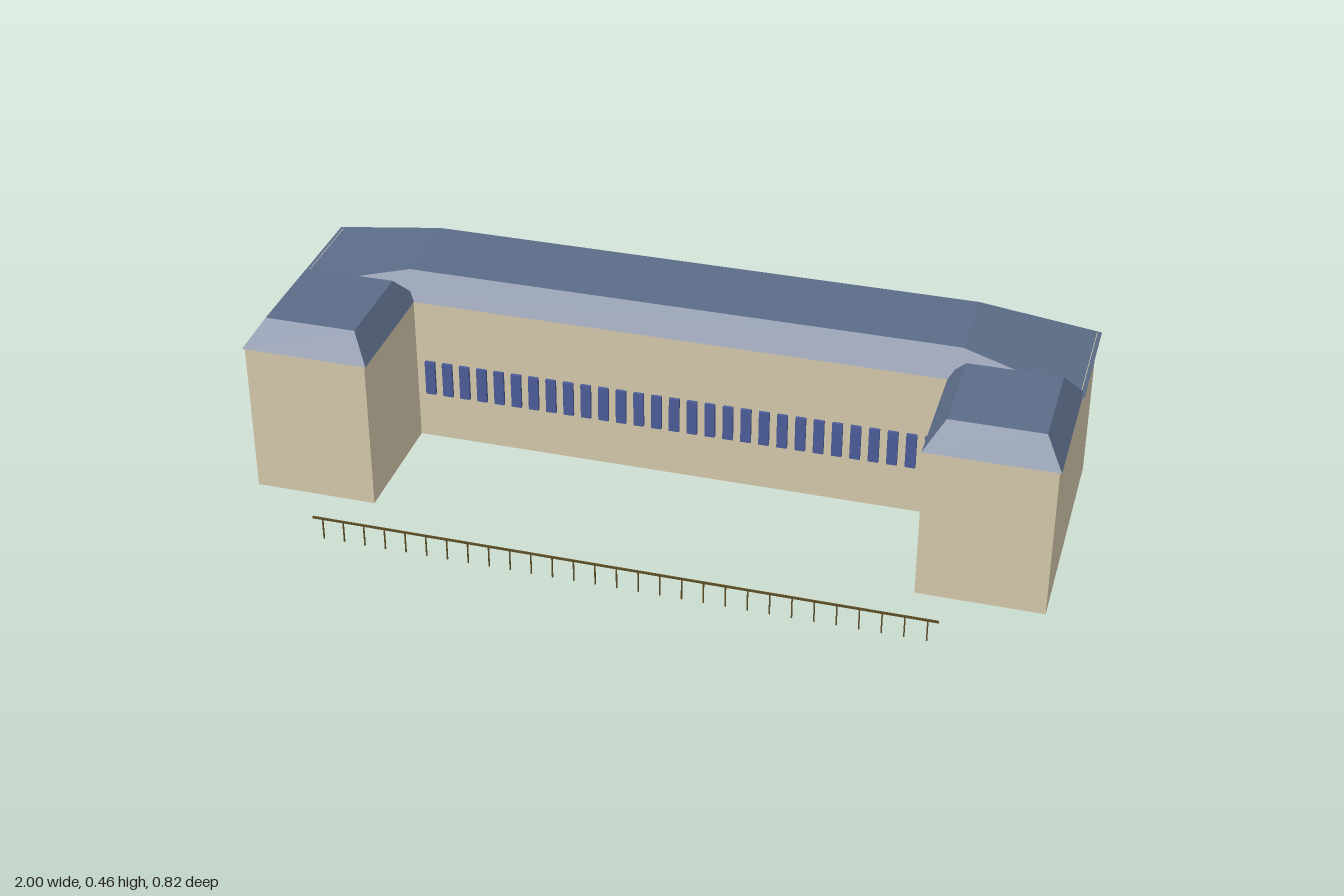
import * as THREE from 'three';

const material = (name, color) => {
  const m = new THREE.MeshStandardMaterial({ color });
  m.name = name;
  return m;
};

export function createModel() {
  const stone = material('stone', 0xd4c8ab);
  const slate = material('slate', 0x5c6c88);
  const glass = material('glass', 0x4c5c98);
  const iron = material('iron', 0x5c4c24);

  const model = new THREE.Group();
  model.name = 'building';

  const add = (parent, name, geometry, mat, x = 0, y = 0, z = 0) => {
    const mesh = new THREE.Mesh(geometry, mat);
    mesh.name = name;
    mesh.position.set(x, y, z);
    parent.add(mesh);
    return mesh;
  };
  const addGroup = (name) => {
    const g = new THREE.Group();
    g.name = name;
    model.add(g);
    return g;
  };

  // U-shaped walls: long main block with two forward wings (plan y = -z)
  const plan = new THREE.Shape([
    [-0.99, -0.233], [-0.68, -0.233], [-0.68, 0.1], [0.68, 0.1],
    [0.68, -0.233], [0.99, -0.233], [0.99, 0.403], [-0.99, 0.403],
  ].map(([x, y]) => new THREE.Vector2(x, y)));
  const walls = new THREE.ExtrudeGeometry(plan, { depth: 0.4, bevelEnabled: false });
  walls.rotateX(-Math.PI / 2);
  add(model, 'walls', walls, stone);

  // Flat-topped hipped roof: a box with its upper corners drawn inwards
  const hippedRoof = (width, depth, insetX, insetZ) => {
    const g = new THREE.BoxGeometry(width, 0.065, depth);
    const p = g.attributes.position;
    for (let i = 0; i < p.count; i++) {
      if (p.getY(i) < 0) continue;
      p.setX(i, p.getX(i) - Math.sign(p.getX(i)) * insetX);
      p.setZ(i, p.getZ(i) - Math.sign(p.getZ(i)) * insetZ);
    }
    g.computeVertexNormals();
    return g;
  };
  add(model, 'mainRoof', hippedRoof(2, 0.32, 0.3, 0.047), slate, 0, 0.43, -0.25);
  for (const side of [-1, 1]) {
    add(model, side > 0 ? 'leftWingRoof' : 'rightWingRoof',
      hippedRoof(0.32, 0.36, 0.045, 0.053), slate, side * 0.835, 0.43, 0.058);
  }

  // Row of narrow windows along the courtyard wall
  const windows = addGroup('windows');
  const pane = new THREE.BoxGeometry(0.026, 0.094, 0.009);
  for (let i = 0; i < 29; i++) {
    add(windows, 'window', pane, glass, (i - 14) * 0.046, 0.177, -0.096);
  }

  // Railing in front: one thin rail on evenly spaced posts
  const fence = addGroup('fence');
  add(fence, 'rail', new THREE.BoxGeometry(1.535, 0.005, 0.004), iron, 0, 0.058, 0.407);
  const post = new THREE.BoxGeometry(0.003, 0.058, 0.003);
  for (let i = 0; i < 29; i++) {
    add(fence, 'post', post, iron, (i - 14) * 0.053, 0.029, 0.407);
  }

  return model;
}
